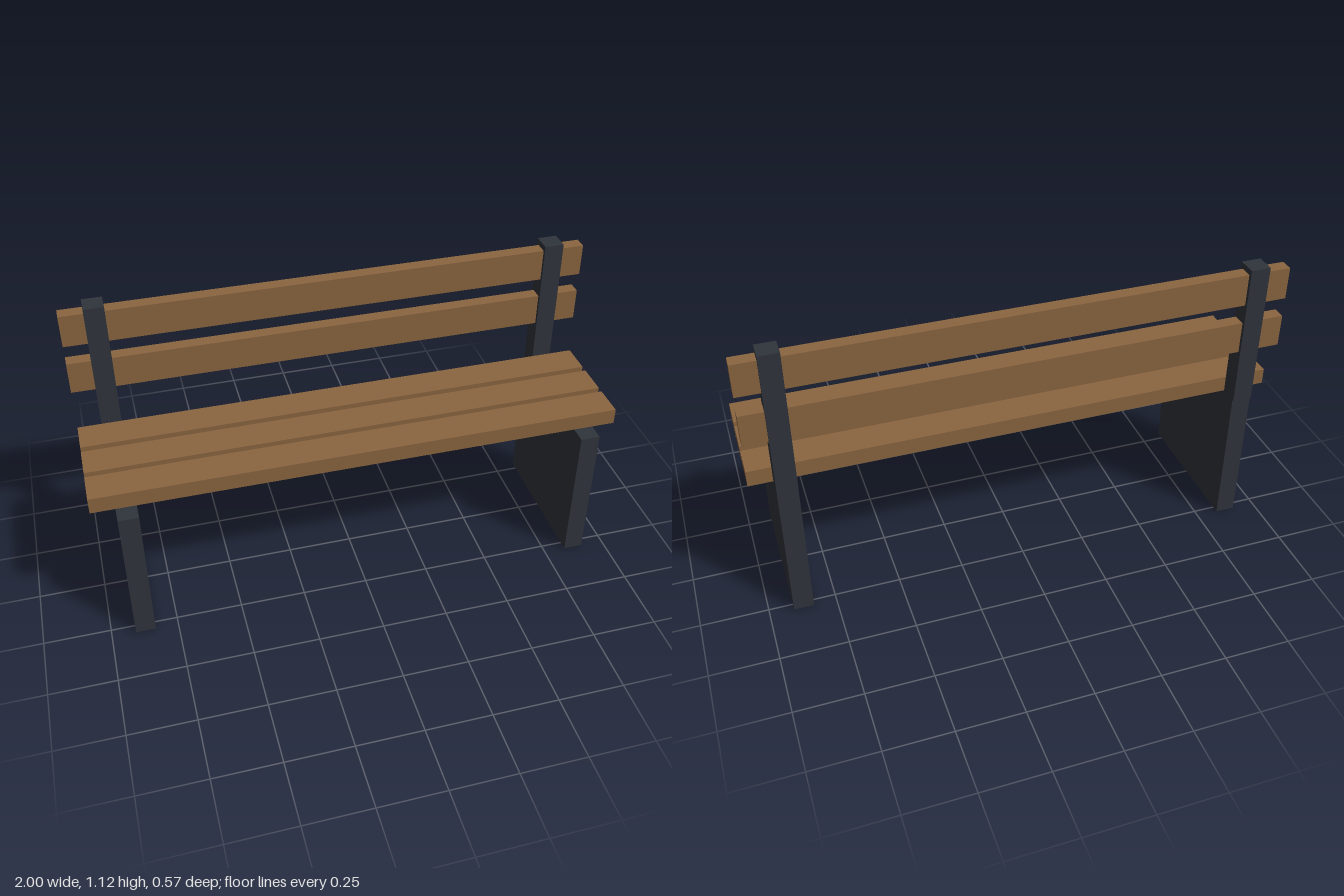
import * as THREE from 'three';

export function createModel() {
  const bench = new THREE.Group();
  bench.name = 'bench';
  const wood = new THREE.MeshStandardMaterial({ color: 0x8b6540 });
  const metal = new THREE.MeshStandardMaterial({ color: 0x30343c });

  // Box given by its centre x and z, its underside y, and its size
  const box = (name, material, [w, h, d], [x, y, z]) => {
    const mesh = new THREE.Mesh(new THREE.BoxGeometry(w, h, d), material);
    mesh.name = name;
    mesh.position.set(x, y + h / 2, z);
    bench.add(mesh);
  };

  const seatY = 0.5625;

  // Slab legs with a back post standing on the rear edge of each
  for (const [side, s] of [['left', 1], ['right', -1]]) {
    box(`${side}Leg`, metal, [0.075, seatY, 0.564], [s * 0.873, 0, 0.003]);
    box(`${side}BackPost`, metal, [0.075, 0.5625, 0.075], [s * 0.873, seatY, -0.2475]);
  }

  // Three seat slats, front to back
  [0.155, 0.005, -0.147].forEach((z, i) =>
    box(`seatSlat${i + 1}`, wood, [2, 0.0625, 0.126], [0, seatY, z]));

  // Two backrest slats passing through the posts
  [0.777, 0.977].forEach((y, i) =>
    box(`backSlat${i + 1}`, wood, [2, 0.125, 0.05], [0, y, -0.247]));

  return bench;
}
